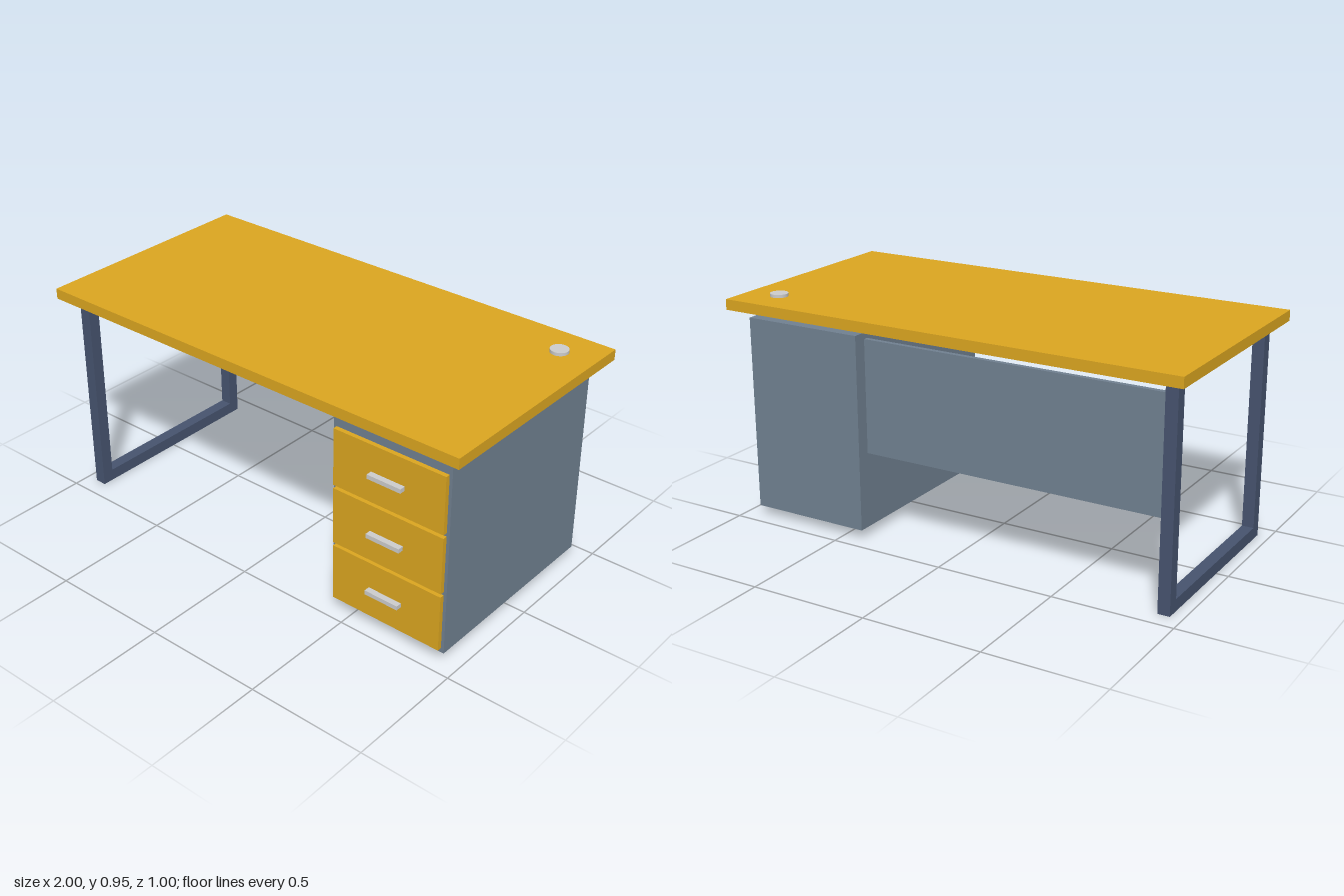
import * as THREE from 'three';

const paint = (color) => new THREE.MeshStandardMaterial({ color });

export function createModel() {
  const desk = new THREE.Group();
  desk.name = 'desk';
  const wood = paint(0xdaa520);
  const panel = paint(0x708090);
  const steel = paint(0x46536e);
  const metal = paint(0xd3d3d3);

  // Box given by its extents along each axis
  const box = (name, material, [x0, x1], [y0, y1], [z0, z1], parent = desk) => {
    const mesh = new THREE.Mesh(new THREE.BoxGeometry(x1 - x0, y1 - y0, z1 - z0), material);
    mesh.position.set((x0 + x1) / 2, (y0 + y1) / 2, (z0 + z1) / 2);
    mesh.name = name;
    parent.add(mesh);
    return mesh;
  };

  // Table top with cable cap
  box('tableTop', wood, [-1, 1], [0.896, 0.94], [-0.5, 0.5]);
  const cap = new THREE.Mesh(new THREE.CylinderGeometry(0.037, 0.037, 0.013, 32), metal);
  cap.position.set(0.848, 0.9465, -0.35);
  cap.name = 'cableCap';
  desk.add(cap);

  // U-shaped leg frame: two posts joined by a floor bar
  const frame = new THREE.Group();
  frame.name = 'legFrame';
  desk.add(frame);
  const legX = [-0.95, -0.9];
  box('frontLeg', steel, legX, [0, 0.896], [0.375, 0.425], frame);
  box('backLeg', steel, legX, [0, 0.896], [-0.425, -0.375], frame);
  box('floorBar', steel, legX, [0, 0.05], [-0.375, 0.375], frame);

  // Modesty panel between leg frame and cabinet
  box('modestyPanel', panel, [-0.902, 0.403], [0.361, 0.835], [-0.39, -0.37]);

  // Drawer cabinet
  const cabinet = new THREE.Group();
  cabinet.name = 'drawerCabinet';
  desk.add(cabinet);
  box('cabinetBody', panel, [0.41, 0.935], [0.04, 0.858], [-0.438, 0.438], cabinet);
  for (let i = 0; i < 3; i++) {
    const y = 0.18 + i * 0.2565;
    const drawer = new THREE.Group();
    drawer.name = `drawer${i + 1}`;
    cabinet.add(drawer);
    box('drawerFront', wood, [0.423, 0.922], [y - 0.121, y + 0.121], [0.438, 0.457], drawer);
    box('drawerHandle', metal, [0.597, 0.748], [y - 0.009, y + 0.009], [0.457, 0.482], drawer);
  }
  return desk;
}
